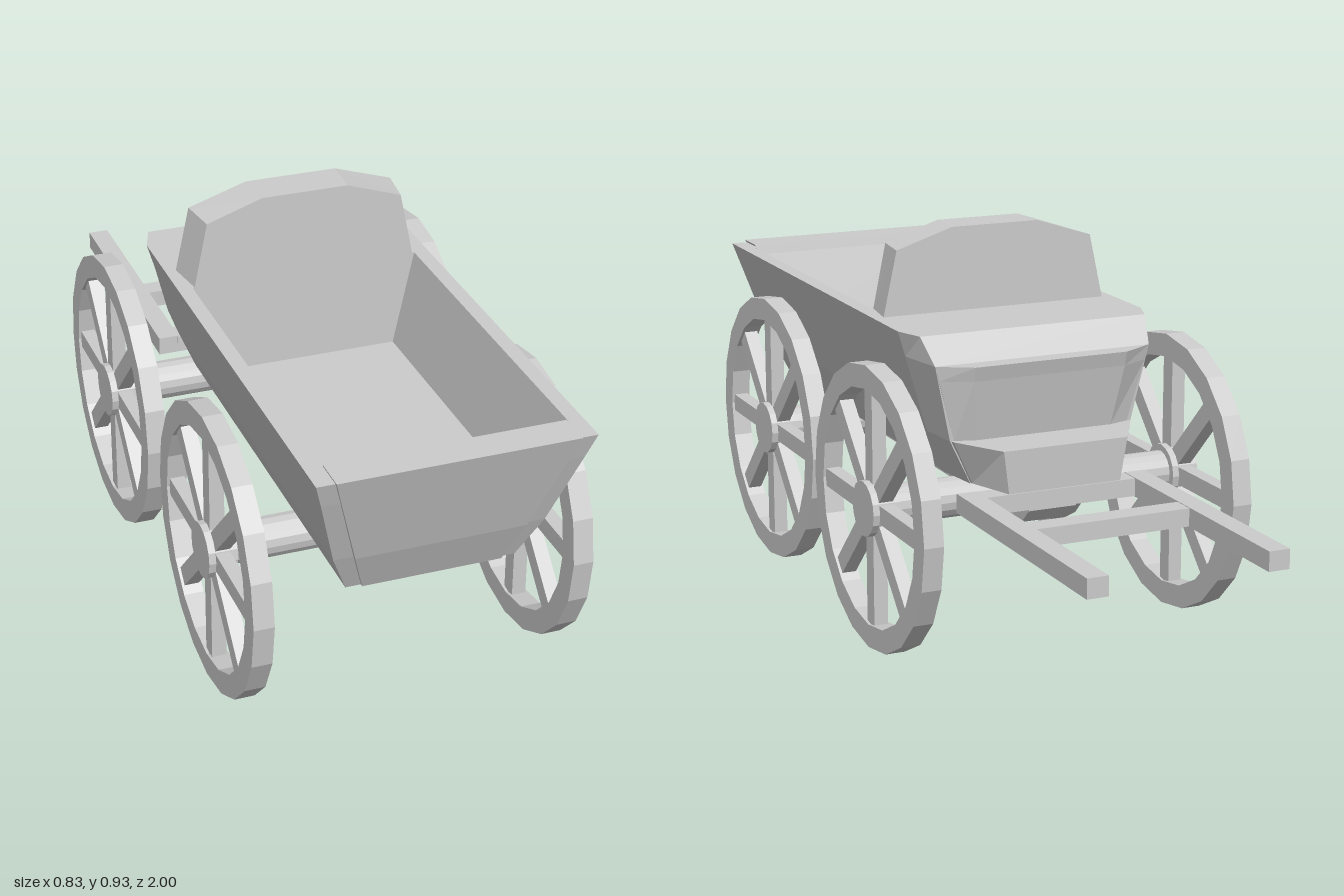
import * as THREE from 'three';

const material = new THREE.MeshStandardMaterial({ color: 0xcccccc, flatShading: true });

function add(parent, name, geometry, x = 0, y = 0, z = 0) {
  const mesh = new THREE.Mesh(geometry, material);
  mesh.name = name;
  mesh.position.set(x, y, z);
  parent.add(mesh);
  return mesh;
}

const box = (w, h, d) => new THREE.BoxGeometry(w, h, d);

// Cylinder lying along x
const rod = (r, length, sides) => new THREE.CylinderGeometry(r, r, length, sides).rotateZ(Math.PI / 2);

// Skins a stack of horizontal outlines and closes both ends.
// Each outline is { y, pts: [[x, z], ...] }, running front-left to front-right and round the back.
function loft(rings) {
  const pos = [];
  const n = rings[0].pts.length;
  const put = (r, j) => pos.push(r.pts[j % n][0], r.y, r.pts[j % n][1]);
  for (let i = 0; i < rings.length - 1; i++) {
    const a = rings[i], b = rings[i + 1];
    for (let j = 0; j < n; j++) {
      put(a, j); put(a, j + 1); put(b, j + 1);
      put(a, j); put(b, j + 1); put(b, j);
    }
  }
  const bottom = rings[0], top = rings[rings.length - 1];
  for (let j = 1; j < n - 1; j++) {
    put(bottom, 0); put(bottom, j + 1); put(bottom, j);
    put(top, 0); put(top, j); put(top, j + 1);
  }
  const g = new THREE.BufferGeometry();
  g.setAttribute('position', new THREE.Float32BufferAttribute(pos, 3));
  g.computeVertexNormals();
  return g;
}

// Symmetric outline from half widths and depths, listed from front to back
function ring(y, ...half) {
  const right = half.map(([x, z]) => [x, z]);
  const left = half.slice(1).reverse().map(([x, z]) => [-x, z]);
  return { y, pts: [[-half[0][0], half[0][1]], ...right, ...left] };
}

function makeWheel(name) {
  const wheel = new THREE.Group();
  wheel.name = name;
  const outer = 0.335, inner = 0.28, h = 0.0235;
  const profile = [[inner, -h], [outer, -h], [outer, h], [inner, h], [inner, -h]]
    .map(([r, y]) => new THREE.Vector2(r, y));
  add(wheel, 'rim', new THREE.LatheGeometry(profile, 20).rotateZ(Math.PI / 2));
  add(wheel, 'hub', rod(0.065, 0.066, 16));
  for (let i = 0; i < 4; i++) {
    add(wheel, 'spokePair', box(0.034, 0.58, 0.043)).rotation.x = i * Math.PI / 4;
  }
  return wheel;
}

export function createModel() {
  const wagon = new THREE.Group();
  wagon.name = 'wagon';

  // Hollow body: up the outside, over the rim, down to the floor
  add(wagon, 'body', loft([
    ring(0.385, [0.195, 0.86], [0.195, -0.18], [0.18, -0.29]),
    ring(0.49, [0.24, 0.905], [0.24, -0.18], [0.23, -0.29]),
    ring(0.67, [0.292, 0.97], [0.292, -0.18], [0.27, -0.3]),
    ring(0.73, [0.31, 0.99], [0.31, -0.18], [0.285, -0.25]),
    ring(0.73, [0.275, 0.92], [0.275, 0.07], [0.2, 0.07]),
    ring(0.5, [0.225, 0.85], [0.225, 0.07], [0.2, 0.07]),
  ]));

  // Slanted front board, slightly proud of the body
  add(wagon, 'frontBoard', loft([
    ring(0.385, [0.16, 0.868], [0.16, 0.84]),
    ring(0.49, [0.195, 0.915], [0.195, 0.86]),
    ring(0.735, [0.27, 1.0], [0.27, 0.92]),
  ]));

  // Seat back, a little narrower towards the front
  const outline = [[-0.285, 0.725], [0.285, 0.725], [0.25, 0.885], [0.11, 0.93], [-0.11, 0.93], [-0.25, 0.885]];
  const seatBack = new THREE.ExtrudeGeometry(
    new THREE.Shape(outline.map(([x, y]) => new THREE.Vector2(x, y))), { depth: 0.1, bevelEnabled: false });
  const p = seatBack.attributes.position;
  for (let i = 0; i < p.count; i++) if (p.getZ(i) > 0.05) p.setX(i, p.getX(i) * 0.95);
  add(wagon, 'seatBack', seatBack, 0, 0, -0.03);

  // Rear panel leaning out to a lip, and the footboard below it
  add(wagon, 'rearPanel', loft([
    ring(0.49, [0.22, -0.27], [0.22, -0.29], [0.17, -0.305]),
    ring(0.635, [0.26, -0.27], [0.26, -0.3], [0.19, -0.335]),
    ring(0.67, [0.27, -0.27], [0.27, -0.3], [0.19, -0.345]),
  ]));
  add(wagon, 'footboard', loft([
    ring(0.388, [0.18, -0.27], [0.18, -0.3], [0.14, -0.415]),
    ring(0.49, [0.23, -0.27], [0.225, -0.3], [0.155, -0.42]),
  ]));

  // Central beam with a chamfered rear end
  add(wagon, 'centreBeam', loft([
    ring(0.283, [0.06, 0.65], [0.06, -0.31]),
    ring(0.32, [0.06, 0.65], [0.06, -0.35]),
    ring(0.388, [0.06, 0.65], [0.06, -0.35]),
  ]));

  // Axles and wheels
  for (const [end, z, leftX] of [['front', 0.545, 0.353], ['rear', -0.22, 0.383]]) {
    add(wagon, end + 'Axle', rod(0.047, leftX + 0.383, 16), (leftX - 0.383) / 2, 0.337, z);
    for (const [side, x] of [['Left', leftX], ['Right', -0.383]]) {
      const wheel = makeWheel(end + side + 'Wheel');
      wheel.position.set(x, 0.335, z);
      wagon.add(wheel);
    }
  }

  // Shafts with their crossbars
  for (const s of [-1, 1]) add(wagon, 'shaft', box(0.05, 0.045, 0.655), s * 0.213, 0.36, -0.6725);
  for (const z of [-0.37, -0.628]) add(wagon, 'shaftCrossbar', box(0.38, 0.042, 0.055), 0, 0.36, z);

  return wagon;
}
